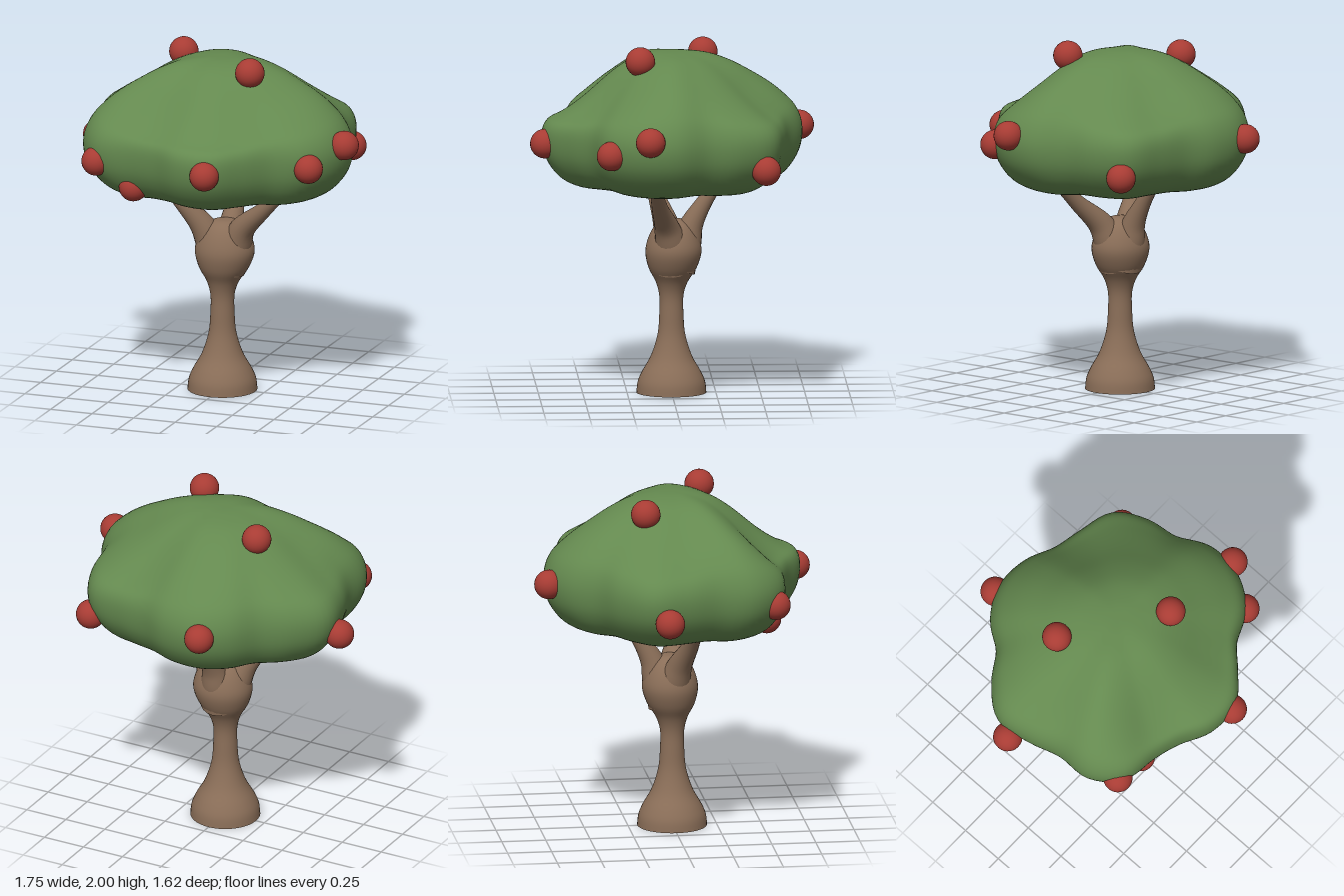
import * as THREE from 'three';
import { mergeVertices } from 'three/addons/utils/BufferGeometryUtils.js';

const v = (x, y, z) => new THREE.Vector3(x, y, z);
const material = (color) => new THREE.MeshStandardMaterial({ color });

// Smooth revolved form from a few [radius, y] points, listed bottom to top
function latheFrom(points, steps, sides) {
  const curve = new THREE.SplineCurve(points.map(([r, y]) => new THREE.Vector2(r, y)));
  const profile = curve.getPoints(steps);
  profile.forEach((p) => { p.x = Math.max(p.x, 0); });
  return new THREE.LatheGeometry(profile, sides);
}

// Weld the seam so the shading stays continuous
function weld(geometry) {
  geometry.deleteAttribute('uv');
  geometry.deleteAttribute('normal');
  const welded = mergeVertices(geometry, 1e-4);
  welded.computeVertexNormals();
  return welded;
}

// Tube whose radius eases from r0 down to r1
function taperedTube(points, r0, r1) {
  const curve = new THREE.CatmullRomCurve3(points);
  const rings = 32, sides = 20;
  const geometry = new THREE.TubeGeometry(curve, rings, 1, sides);
  const pos = geometry.attributes.position;
  for (let i = 0; i <= rings; i++) {
    const t = i / rings;
    const centre = curve.getPointAt(t);
    const r = r1 + (r0 - r1) * (1 - t) ** 2;
    for (let j = 0; j <= sides; j++) {
      const k = i * (sides + 1) + j;
      const p = v().fromBufferAttribute(pos, k).sub(centre).multiplyScalar(r).add(centre);
      pos.setXYZ(k, p.x, p.y, p.z);
    }
  }
  return weld(geometry);
}

// Smooth closed function of a turn (0 to 1) through evenly spaced values
function around(values) {
  const curve = new THREE.CatmullRomCurve3(values.map((n) => v(n, 0, 0)), true, 'catmullrom', 0.5);
  return (turn) => curve.getPoint(turn).x;
}

// Lobed crown: a revolved profile with an outline radius and a lift per angle
function crownGeometry() {
  const radius = around([0.785, 0.795, 0.755, 0.67, 0.69, 0.745, 0.725, 0.665, 0.685, 0.785, 0.795, 0.725,
    0.755, 0.805, 0.75, 0.69, 0.74, 0.76, 0.73, 0.68, 0.715, 0.79, 0.765, 0.72]);
  const lift = around([0.06, 0.005, -0.06, -0.06, -0.06, 0.055, 0, 0.02, 0.045, 0.025, -0.04, 0]);
  const geometry = latheFrom([[0, 1.215], [0.35, 1.2], [0.63, 1.183], [0.84, 1.235],
    [0.965, 1.35], [1, 1.48], [0.96, 1.585], [0.84, 1.665], [0.64, 1.77],
    [0.47, 1.855], [0.31, 1.912], [0.14, 1.938], [0, 1.942]], 60, 120);
  const pos = geometry.attributes.position;
  for (let i = 0; i < pos.count; i++) {
    const x = pos.getX(i), z = pos.getZ(i), y = pos.getY(i);
    const s = Math.min(Math.hypot(x, z), 1);
    const turn = (Math.atan2(z, x) / (2 * Math.PI) + 1) % 1;
    const lobe = radius(turn);
    const r = THREE.MathUtils.lerp(0.735, lobe, s * s);
    const bump = 9.48 * s ** 3 * (1 - s);
    const shift = y > 1.48 ? lift(turn) : 0.15 * (0.735 - lobe);
    pos.setXYZ(i, x * r, y + bump * shift, z * r);
  }
  return weld(geometry);
}

export function createModel() {
  const tree = new THREE.Group();
  tree.name = 'fruitTree';
  const add = (name, geometry, mat, parent = tree) => {
    const mesh = new THREE.Mesh(geometry, mat);
    mesh.name = name;
    parent.add(mesh);
    return mesh;
  };
  const bark = material(0x8a6e58);
  const leaves = material(0x64894f);
  const red = material(0xa83c34);

  // Trunk: flared foot, narrow waist and swollen fork
  const trunk = latheFrom([[0.197, 0], [0.19, 0.06], [0.165, 0.12], [0.115, 0.21],
    [0.078, 0.33], [0.068, 0.45], [0.068, 0.55], [0.09, 0.63], [0.135, 0.71],
    [0.158, 0.8], [0.143, 0.88], [0.105, 0.95], [0.055, 0.985], [0, 0.99]], 60, 40);
  const pos = trunk.attributes.position;
  for (let i = 0; i < pos.count; i++) {
    const lean = THREE.MathUtils.smoothstep(pos.getY(i), 0.55, 0.85);
    pos.setXYZ(i, pos.getX(i) * (1 + 0.08 * lean) + 0.01 * lean, pos.getY(i), pos.getZ(i) - 0.012 * lean);
  }
  add('trunk', weld(trunk), bark);
  add('trunkBase', new THREE.CircleGeometry(0.197, 40).rotateX(Math.PI / 2), bark).position.y = 0.001;

  // Three branches swelling out of the fork and reaching into the crown
  const branches = new THREE.Group();
  branches.name = 'branches';
  tree.add(branches);
  add('leftBranch', taperedTube([v(0.015, 0.73, -0.005), v(0.08, 0.85, 0.005), v(0.132, 0.955, 0.03),
    v(0.27, 1.085, 0.075), v(0.41, 1.22, 0.105), v(0.47, 1.28, 0.115)], 0.125, 0.033), bark, branches);
  add('rightBranch', taperedTube([v(0, 0.73, -0.005), v(-0.062, 0.85, 0.005), v(-0.112, 0.955, 0.03),
    v(-0.215, 1.09, 0.075), v(-0.325, 1.22, 0.1), v(-0.38, 1.28, 0.11)], 0.125, 0.035), bark, branches);
  add('backBranch', taperedTube([v(0.01, 0.73, -0.02), v(0.012, 0.85, -0.08), v(0.015, 0.955, -0.112),
    v(0.018, 1.085, -0.185), v(0.02, 1.22, -0.28), v(0.02, 1.28, -0.32)], 0.125, 0.032), bark, branches);

  // Crown
  add('crown', crownGeometry(), leaves);

  // Fruits half sunk in the leaves
  const fruits = new THREE.Group();
  fruits.name = 'fruits';
  tree.add(fruits);
  const fruitShape = new THREE.SphereGeometry(0.083, 28, 20);
  [[-0.795, 1.38, -0.115], [-0.565, 1.41, 0.515], [0.163, 1.445, 0.72], [0.655, 1.445, 0.365],
    [0.79, 1.54, 0.15], [0.585, 1.345, -0.51], [-0.23, 1.485, -0.73], [-0.35, 1.275, 0.49],
    [-0.305, 1.893, -0.19], [0.235, 1.917, 0.185]]
    .forEach((p) => add('fruit', fruitShape, red, fruits).position.set(...p));

  return tree;
}
